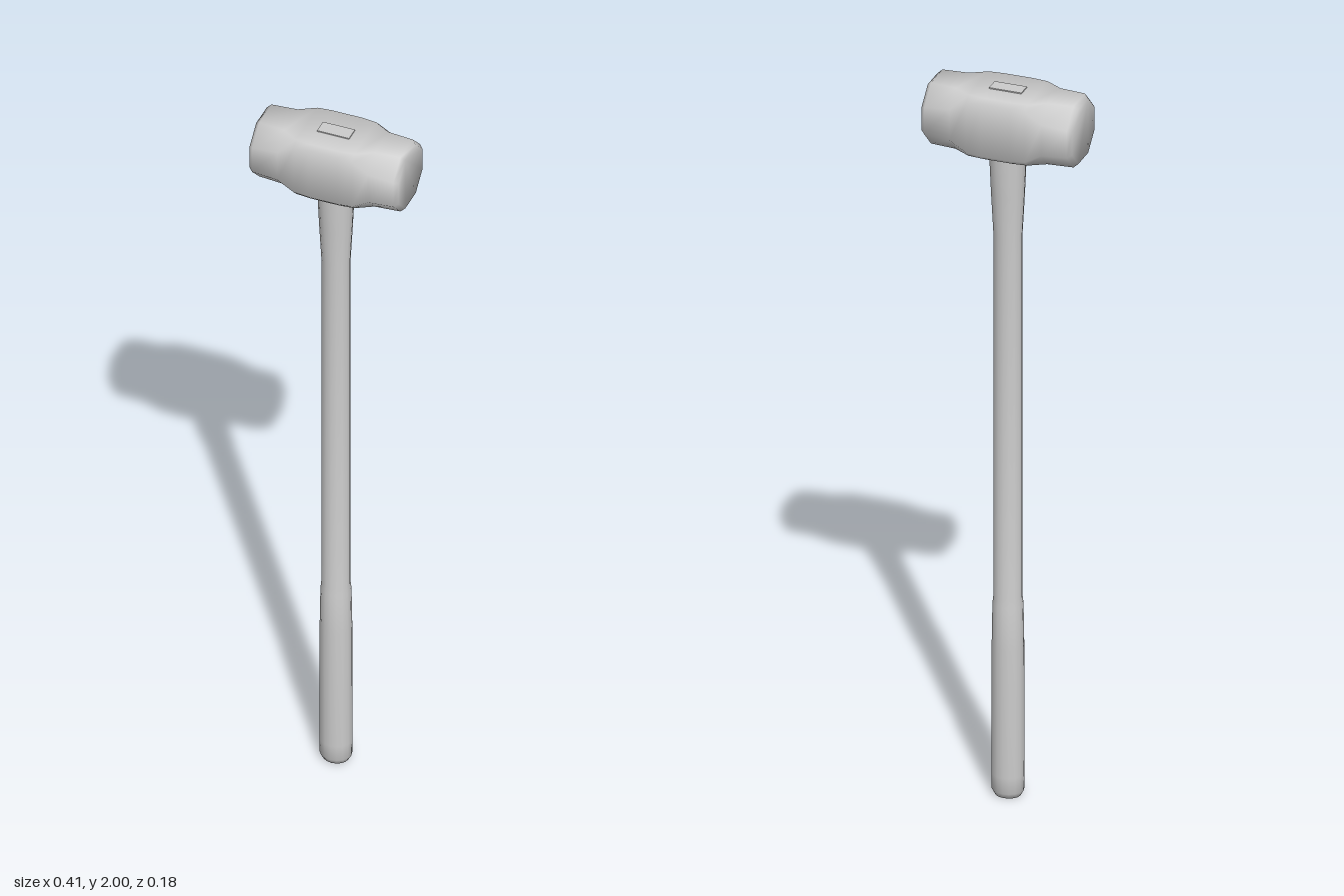
import * as THREE from 'three';
import { toCreasedNormals } from 'three/addons/utils/BufferGeometryUtils.js';

// Skin a row of equal-length point loops and close both ends.
function loft(rings) {
  const n = rings[0].length;
  const index = [];
  for (let r = 0; r < rings.length - 1; r++) {
    for (let i = 0; i < n; i++) {
      const a = r * n + i, b = r * n + (i + 1) % n;
      index.push(a, b, a + n, b, b + n, a + n);
    }
  }
  const last = (rings.length - 1) * n;
  for (let i = 1; i < n - 1; i++) {
    index.push(0, i + 1, i, last, last + i, last + i + 1);
  }
  const geometry = new THREE.BufferGeometry().setFromPoints(rings.flat());
  geometry.setIndex(index);
  return toCreasedNormals(geometry, 1.25);
}

// Octagon across x: half height h, half depth d, corner cut c.
function octagon(x, h, d, c, y) {
  return [
    [h, d - c], [h - c, d], [c - h, d], [-h, d - c],
    [-h, c - d], [c - h, -d], [h - c, -d], [h, c - d],
  ].map(([dy, z]) => new THREE.Vector3(x, y + dy, z));
}

// Ellipse across y.
function ellipse(y, rx, rz, sides = 16) {
  return Array.from({ length: sides }, (_, i) => {
    const a = (i / sides) * Math.PI * 2;
    return new THREE.Vector3(Math.cos(a) * rx, y, -Math.sin(a) * rz);
  });
}

export function createModel() {
  const group = new THREE.Group();
  const grey = new THREE.MeshStandardMaterial({ color: 0xcccccc });
  grey.name = 'plain grey';

  const add = (name, geometry) => {
    const mesh = new THREE.Mesh(geometry, grey);
    mesh.name = name;
    group.add(mesh);
  };

  // Head: squarer cheeks in the middle, octagonal striking ends with a bevel
  const half = [
    [0.04, 0.086, 0.089, 0.012],
    [0.08, 0.086, 0.089, 0.016],
    [0.125, 0.086, 0.089, 0.042],
    [0.194, 0.086, 0.089, 0.048],
    [0.205, 0.077, 0.080, 0.045],
  ];
  const sections = [
    ...half.map(([x, ...s]) => [-x, ...s]).reverse(),
    ...half,
  ];
  add('hammerHead', loft(sections.map(([x, h, d, c]) => octagon(x, h, d, c, 1.911))));

  // Handle: swollen grip, slim shaft and a flare under the head
  const profile = [
    [0, 0.034, 0.030],
    [0.015, 0.042, 0.038],
    [0.06, 0.043, 0.039],
    [0.42, 0.042, 0.039],
    [0.54, 0.040, 0.037],
    [0.56, 0.038, 0.033],
    [1.59, 0.038, 0.033],
    [1.70, 0.044, 0.038],
    [1.84, 0.050, 0.044],
  ];
  add('handle', loft(profile.map(([y, rx, rz]) => ellipse(y, rx, rz))));

  // Handle end showing through the eye of the head
  const eye = new THREE.BoxGeometry(0.088, 0.008, 0.04);
  eye.translate(0, 1.996, 0);
  add('handleEnd', eye);

  return group;
}
